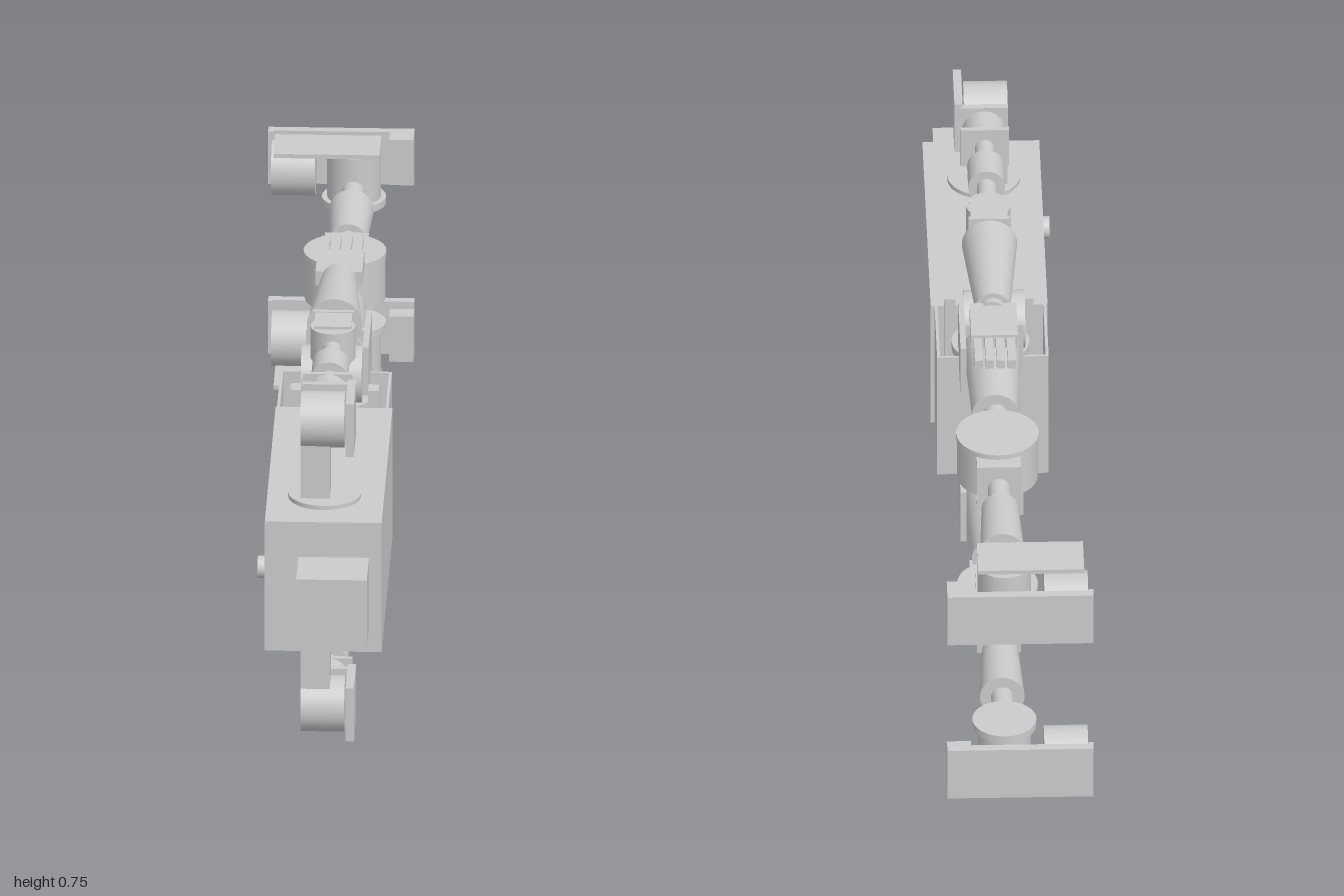
import * as THREE from 'three';

const MID = 0.377; // height of the body's plane of symmetry
const AX = 0.03;   // x of the limb axes

const mat = new THREE.MeshStandardMaterial({ color: 0xcccccc });

function add(parent, name, geo) {
  const m = new THREE.Mesh(geo, mat);
  m.name = name;
  parent.add(m);
  return m;
}

// Box given by its limits on each axis
function box(parent, name, x0, x1, y0, y1, z0, z1) {
  const m = add(parent, name, new THREE.BoxGeometry(x1 - x0, Math.abs(y1 - y0), z1 - z0));
  m.position.set((x0 + x1) / 2, (y0 + y1) / 2, (z0 + z1) / 2);
  return m;
}

// Cylinder from a to b along one axis, u and v being the other two coordinates in x, y, z order
function cyl(parent, name, axis, a, b, u, v, ra, rb = ra) {
  const lo = Math.min(a, b), hi = Math.max(a, b);
  const rLo = a < b ? ra : rb, rHi = a < b ? rb : ra;
  const geo = new THREE.CylinderGeometry(rHi, rLo, hi - lo, 32);
  const c = (lo + hi) / 2;
  if (axis === 'x') geo.rotateZ(-Math.PI / 2);
  if (axis === 'z') geo.rotateX(Math.PI / 2);
  const m = add(parent, name, geo);
  if (axis === 'x') m.position.set(c, u, v);
  else if (axis === 'y') m.position.set(u, c, v);
  else m.position.set(u, v, c);
  return m;
}

function buildBody(root) {
  const g = new THREE.Group();
  g.name = 'body';
  box(g, 'torso', -0.09, 0.15, 0.235, 0.522, 0.24, 0.85);
  box(g, 'head', -0.02, 0.125, 0.3, 0.457, 0.88, 1);
  cyl(g, 'neck', 'z', 0.84, 0.89, 0.04, MID, 0.025);
  cyl(g, 'backKnob', 'x', -0.108, -0.085, MID, 0.745, 0.023);
  // Thin U-shaped pelvis bracket
  box(g, 'pelvisFront', 0.136, 0.142, 0.235, 0.522, 0.05, 0.24);
  box(g, 'pelvisBack', -0.087, -0.081, 0.235, 0.522, 0.05, 0.24);
  box(g, 'pelvisBase', -0.087, 0.142, 0.235, 0.522, 0.047, 0.053);
  // Hip posts
  for (const x of [-0.06, 0.1]) box(g, 'hipPost', x, x + 0.022, 0.2, 0.56, 0.205, 0.24);
  root.add(g);
}

// s = 1 for the upper side, -1 for the lower side
function buildArm(root, s) {
  const g = new THREE.Group();
  g.name = s > 0 ? 'upperSideArm' : 'lowerSideArm';
  const Y = (d) => MID + s * d;
  const c = Y(0.316);
  // Shoulder
  cyl(g, 'shoulderDisc', 'y', Y(0.14), Y(0.154), 0.028, 0.71, 0.075);
  box(g, 'shoulderPost', -0.02, 0.04, Y(0.15), Y(0.27), 0.675, 0.745);
  cyl(g, 'shoulderDrum', 'x', -0.02, 0.07, c, 0.71, 0.058);
  box(g, 'shoulderPlate', 0.073, 0.09, Y(0.258), Y(0.375), 0.64, 0.77);
  box(g, 'shoulderBacking', -0.02, 0.08, Y(0.265), Y(0.368), 0.635, 0.65);
  // Upper arm
  cyl(g, 'armCollar', 'z', 0.575, 0.64, AX, c, 0.044);
  box(g, 'armFlange', -0.02, 0.08, Y(0.272), Y(0.36), 0.565, 0.577);
  cyl(g, 'upperArmRod', 'z', 0.33, 0.58, AX, c, 0.02);
  cyl(g, 'upperArm', 'z', 0.42, 0.5, AX, c, 0.038);
  // Elbow with its bracket
  cyl(g, 'elbowDrum', 'y', Y(0.282), Y(0.352), AX, 0.3, 0.046);
  for (const d of [0.276, 0.352])
    box(g, 'elbowBracket', AX - 0.038, AX + 0.038, Y(d), Y(d + 0.006), 0.235, 0.32);
  box(g, 'elbowEnd', AX - 0.042, AX + 0.042, Y(0.274), Y(0.36), 0.235, 0.246);
  // Forearm and hand
  cyl(g, 'forearmRod', 'z', 0.2, 0.24, AX, c, 0.025);
  cyl(g, 'forearm', 'z', 0.21, -0.03, AX, c, 0.057, 0.036);
  cyl(g, 'wrist', 'z', -0.02, -0.045, AX, c, 0.025);
  box(g, 'palm', AX - 0.048, AX + 0.048, Y(0.3), Y(0.332), -0.155, -0.035);
  for (let i = 0; i < 4; i++) {
    const x = AX - 0.042 + i * 0.0225;
    box(g, 'finger', x, x + 0.017, Y(0.306), Y(0.326), -0.24, -0.15);
  }
  root.add(g);
}

function buildLeg(root, s) {
  const g = new THREE.Group();
  g.name = s > 0 ? 'upperSideLeg' : 'lowerSideLeg';
  const Y = (d) => MID + s * d;
  const c = Y(0.177);
  // Hip
  cyl(g, 'hipDisc', 'y', Y(0.112), Y(0.13), AX, 0.13, 0.08);
  cyl(g, 'hipDrum', 'x', -0.04, 0.085, c, 0.14, 0.06);
  box(g, 'hipPlate', 0.085, 0.097, Y(0.117), Y(0.237), -0.06, 0.14);
  box(g, 'hipEnd', -0.035, 0.09, Y(0.12), Y(0.234), 0.03, 0.045);
  // Thigh
  cyl(g, 'thigh', 'z', 0.06, -0.215, AX, c, 0.06, 0.048);
  cyl(g, 'kneeRod', 'z', -0.2, -0.31, AX, c, 0.025);
  // Knee with its bracket
  cyl(g, 'kneeDrum', 'y', Y(0.132), Y(0.226), AX, -0.375, 0.083);
  cyl(g, 'kneeCap', 'y', Y(0.226), Y(0.238), AX, -0.375, 0.085);
  box(g, 'kneePlate', AX - 0.045, AX + 0.045, Y(0.122), Y(0.132), -0.49, -0.33);
  box(g, 'kneeStrap', AX - 0.045, AX + 0.045, Y(0.218), Y(0.227), -0.49, -0.36);
  box(g, 'kneeEnd', AX - 0.045, AX + 0.045, Y(0.122), Y(0.228), -0.49, -0.475);
  // Shin
  cyl(g, 'shinRod', 'z', -0.48, -0.83, AX, c, 0.023);
  cyl(g, 'shin', 'z', -0.565, -0.73, AX, c, 0.038, 0.046);
  // Ankle
  cyl(g, 'ankleDrum', 'y', Y(0.145), Y(0.25), AX, -0.88, 0.055);
  cyl(g, 'ankleDisc', 'y', Y(0.132), Y(0.147), AX, -0.88, 0.066);
  box(g, 'anklePlate', -0.133, 0.085, Y(0.253), Y(0.262), -0.925, -0.82);
  // Foot
  cyl(g, 'footDrum', 'x', -0.14, -0.05, Y(0.19), -0.922, 0.057);
  box(g, 'toePlate', -0.15, -0.14, Y(0.13), Y(0.247), -1, -0.975);
  box(g, 'sole', -0.15, 0.15, Y(0.13), Y(0.247), -1, -0.98);
  box(g, 'heelBlock', 0.1, 0.15, Y(0.146), Y(0.247), -0.985, -0.94);
  root.add(g);
}

export function createModel() {
  const root = new THREE.Group();
  root.name = 'recliningRobot';
  buildBody(root);
  for (const s of [1, -1]) {
    buildArm(root, s);
    buildLeg(root, s);
  }
  return root;
}
